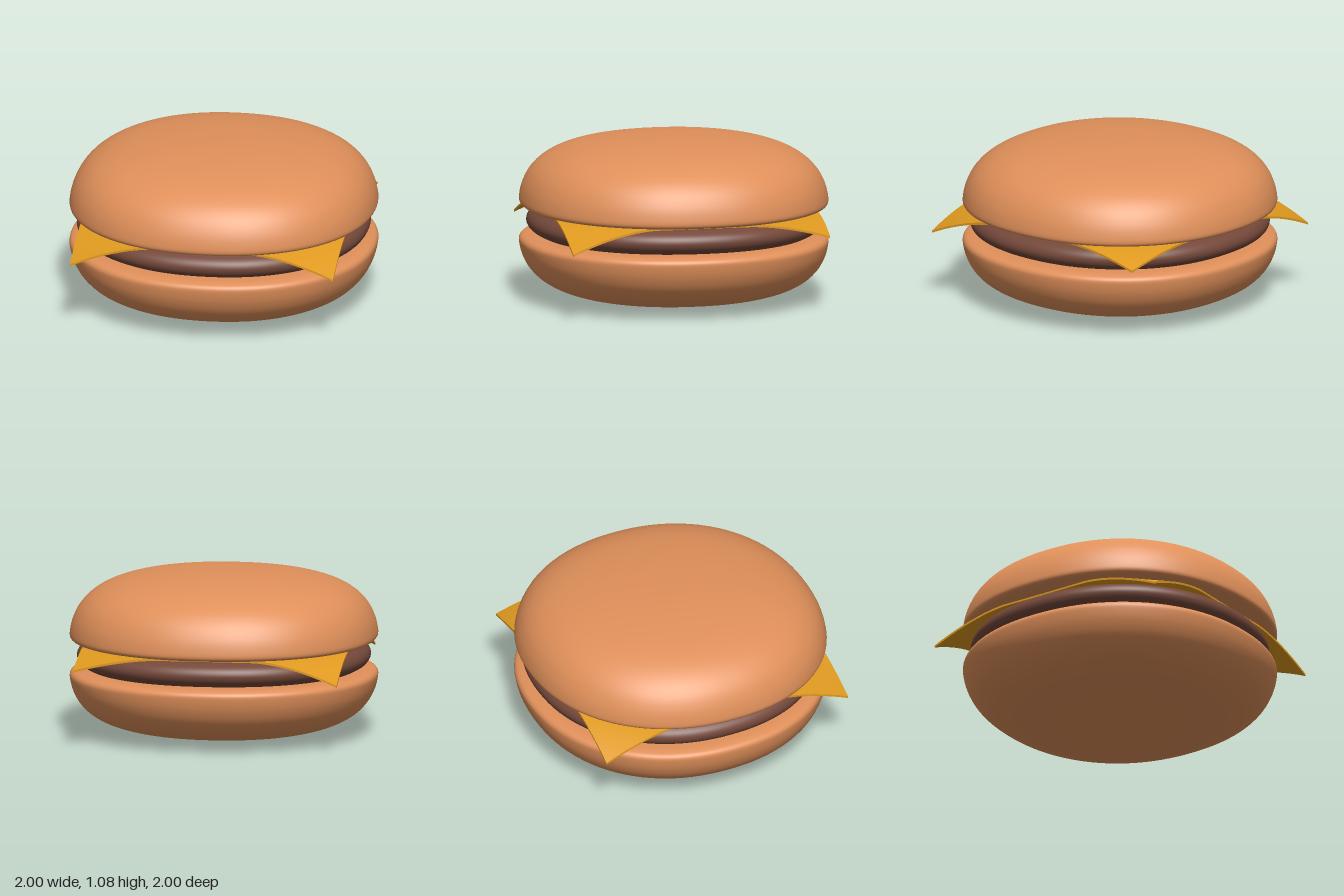
import * as THREE from 'three';
import { mergeVertices } from 'three/addons/utils/BufferGeometryUtils.js';

// Smooth closed disc: a lathed profile whose plan is slightly squared
function roundedDisc(name, profile, color) {
  const curve = new THREE.SplineCurve(profile.map(([r, y]) => new THREE.Vector2(r, y)));
  const points = curve.getPoints(64);
  points.forEach((p) => { p.x = Math.max(p.x, 0); });
  let geo = new THREE.LatheGeometry(points, 96);
  const pos = geo.attributes.position;
  const n = 2.15;
  for (let i = 0; i < pos.count; i++) {
    const x = pos.getX(i), z = pos.getZ(i), r = Math.hypot(x, z);
    if (r < 1e-6) continue;
    const k = Math.pow(Math.abs(x / r) ** n + Math.abs(z / r) ** n, -1 / n);
    pos.setX(i, x * k);
    pos.setZ(i, z * k);
  }
  geo.deleteAttribute('uv');
  geo.deleteAttribute('normal');
  geo = mergeVertices(geo, 1e-5);
  geo.computeVertexNormals();
  const mesh = new THREE.Mesh(geo, new THREE.MeshStandardMaterial({ color }));
  mesh.name = name;
  return mesh;
}

// Thin square slice whose corners droop; the back left one droops less
function cheeseSlice() {
  const half = 0.87;
  const geo = new THREE.BoxGeometry(2 * half, 0.014, 2 * half, 48, 1, 48);
  const pos = geo.attributes.position;
  for (let i = 0; i < pos.count; i++) {
    const x = pos.getX(i), z = pos.getZ(i);
    const u = Math.max(0, (Math.abs(x) + Math.abs(z) - 1.17) / 0.57);
    const backLeft = x > 0 && z < 0;
    const drop = (backLeft ? 0.095 : 0.15) * Math.pow(u, 1.7);
    pos.setY(i, pos.getY(i) + 0.613 - drop);
    if (backLeft) pos.setZ(i, z + 0.022 * u * u);
  }
  geo.computeVertexNormals();
  const mesh = new THREE.Mesh(geo, new THREE.MeshStandardMaterial({ color: 0xe09a20 }));
  mesh.name = 'cheeseSlice';
  return mesh;
}

export function createModel() {
  const group = new THREE.Group();
  group.name = 'cheeseburger';
  const bun = 0xe0905a;

  // Profiles run from the bottom centre to the top centre as [radius, y]
  group.add(roundedDisc('bottomBun', [
    [0, 0], [0.2, 0.004], [0.4, 0.018], [0.6, 0.045], [0.75, 0.085], [0.86, 0.14], [0.935, 0.21],
    [0.98, 0.29], [1, 0.365], [0.998, 0.405], [0.965, 0.427], [0.88, 0.435], [0.6, 0.437], [0, 0.437],
  ], bun));

  group.add(roundedDisc('patty', [
    [0, 0.435], [0.6, 0.435], [0.84, 0.438], [0.9, 0.452], [0.94, 0.48], [0.955, 0.52],
    [0.94, 0.56], [0.9, 0.588], [0.84, 0.602], [0.6, 0.605], [0, 0.605],
  ], 0x74483a));

  group.add(cheeseSlice());

  group.add(roundedDisc('topBun', [
    [0, 0.616], [0.6, 0.616], [0.88, 0.618], [0.965, 0.625], [0.998, 0.642], [1, 0.685], [0.98, 0.765],
    [0.935, 0.85], [0.86, 0.925], [0.75, 0.985], [0.6, 1.028], [0.4, 1.057], [0.2, 1.071], [0, 1.075],
  ], bun));

  return group;
}
